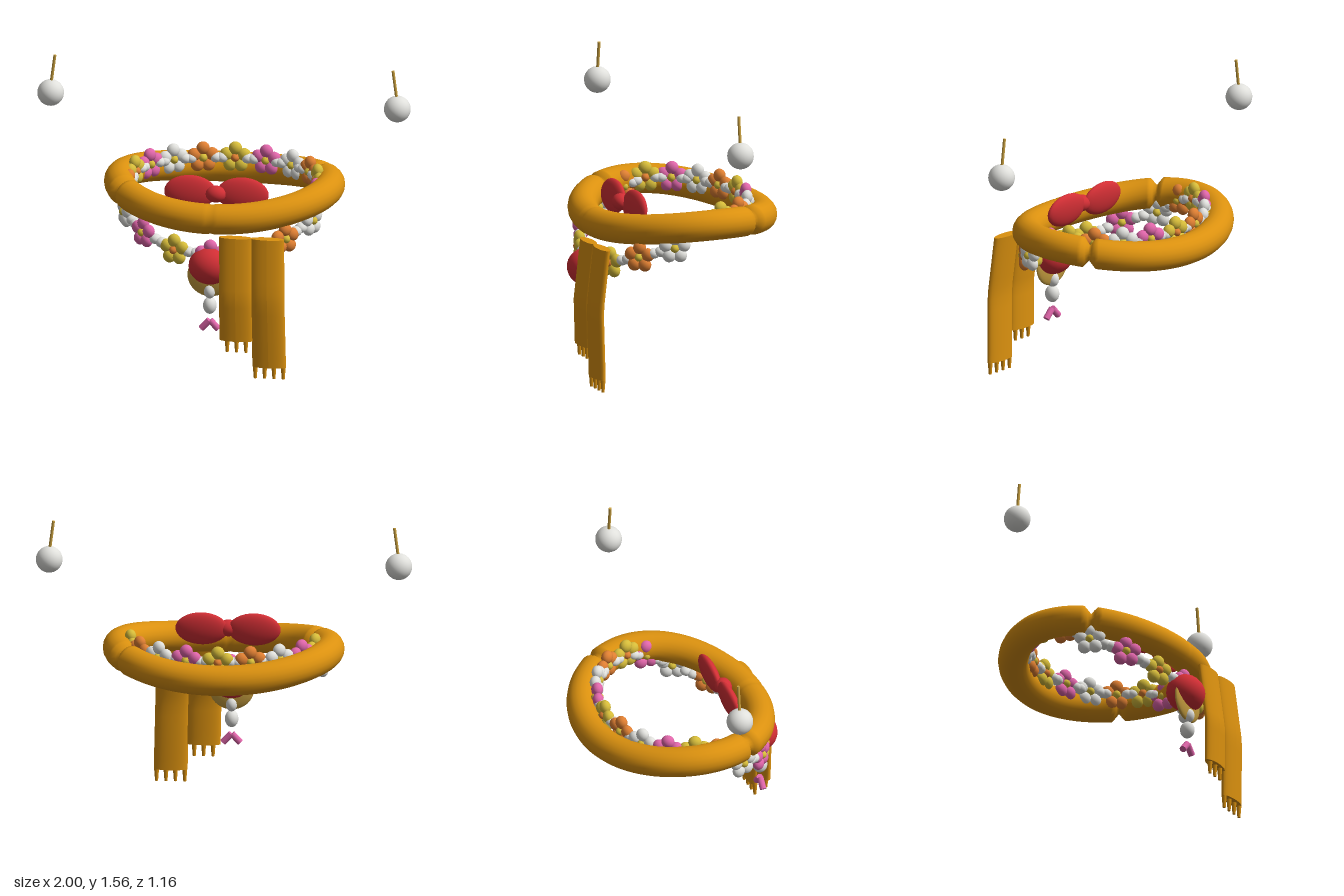
import * as THREE from 'three';
import { mergeVertices } from 'three/addons/utils/BufferGeometryUtils.js';

const mat = (name, color) => {
  const m = new THREE.MeshStandardMaterial({ color });
  m.name = name;
  return m;
};

export function createModel() {
  const ochre = mat('ochre cloth', 0xdb910f);
  const red = mat('red', 0xd32f35);
  const white = mat('pearl white', 0xe0e0dc);
  const yellow = mat('yellow', 0xd6bc3a);
  const pink = mat('pink', 0xe066aa);
  const orange = mat('orange', 0xdf7f32);
  const gold = mat('gold', 0xc9a040);

  const model = new THREE.Group();
  const add = (parent, name, geo, material, x = 0, y = 0, z = 0) => {
    const m = new THREE.Mesh(geo, material);
    m.name = name;
    m.position.set(x, y, z);
    parent.add(m);
    return m;
  };
  const ball = new THREE.SphereGeometry(1, 24, 16);
  const smallBall = new THREE.SphereGeometry(1, 14, 10);
  const blob = (parent, name, material, p, s, geo = ball) => {
    const m = add(parent, name, geo, material, ...p);
    m.scale.set(...s);
    return m;
  };
  // Cylinder between two points
  const rod = (parent, name, material, a, b, ra, rb = ra) => {
    const A = new THREE.Vector3(...a), B = new THREE.Vector3(...b);
    const d = B.clone().sub(A);
    const m = add(parent, name, new THREE.CylinderGeometry(rb, ra, d.length(), 12), material);
    m.position.copy(A).addScaledVector(d, 0.5);
    m.quaternion.setFromUnitVectors(new THREE.Vector3(0, 1, 0), d.normalize());
    return m;
  };

  // Scarf loop: oval tube, higher at the sides, pinched at two folds
  const loop = new THREE.TorusGeometry(1, 0.1, 20, 180);
  const pos = loop.attributes.position, uv = loop.attributes.uv;
  const RX = 0.56, RZ = 0.455, R = 0.081;
  const folds = [[28, 0.5, 4], [208, 0.5, 4], [270, 0.06, 2]];
  for (let i = 0; i < pos.count; i++) {
    const u = uv.getX(i) * Math.PI * 2, v = uv.getY(i) * Math.PI * 2;
    let r = R;
    for (const [angle, depth, width] of folds) {
      const d = Math.abs(uv.getX(i) * 360 - angle);
      r *= 1 - depth * Math.max(0, 1 - d / width);
    }
    const n = new THREE.Vector2(Math.cos(u) / RX, Math.sin(u) / RZ).normalize();
    const out = r * Math.cos(v);
    pos.setXYZ(i,
      RX * Math.cos(u) + n.x * out,
      0.83 + 0.06 * Math.cos(u) ** 2 + r * Math.sin(v),
      -0.04 - RZ * Math.sin(u) - n.y * out);
  }
  loop.deleteAttribute('uv');
  loop.deleteAttribute('normal');
  const loopGeo = mergeVertices(loop, 1e-5);
  loopGeo.computeVertexNormals();
  add(model, 'scarfLoop', loopGeo, ochre);

  // Hanging scarf ends with fringe
  const tailZ = (y) => (y > 0.44 ? 0.551 - 0.125 * (y - 0.44) : 0.551 - 0.02 * (0.44 - y));
  const scarfTail = (name, xTop, xBottom, yBottom, fringes) => {
    const g = new THREE.Group();
    g.name = name;
    const top = 0.765, h = top - yBottom;
    const geo = new THREE.CylinderGeometry(1, 1, h, 24, 12);
    const p = geo.attributes.position;
    for (let i = 0; i < p.count; i++) {
      const y = p.getY(i) + yBottom + h / 2;
      const t = (top - y) / h;
      p.setXYZ(i, xTop + (xBottom - xTop) * t + p.getX(i) * 0.09, y, tailZ(y) + p.getZ(i) * 0.029);
    }
    geo.computeVertexNormals();
    add(g, 'cloth', geo, ochre);
    for (let i = 0; i < fringes; i++) {
      const x = xBottom + (i - (fringes - 1) / 2) * 0.05;
      rod(g, 'fringe', ochre, [x, yBottom + 0.01, tailZ(yBottom)], [x, yBottom - 0.065, tailZ(yBottom)], 0.014, 0.008);
    }
    model.add(g);
  };
  scarfTail('shortScarfTail', 0.145, 0.155, 0.205, 3);
  scarfTail('longScarfTail', 0.315, 0.33, 0.065, 4);

  // Bow inside the loop
  const bow = new THREE.Group();
  bow.name = 'bow';
  for (const s of [-1, 1]) {
    const wing = blob(bow, 'bowWing', red, [s * 0.14, 0.92, 0.24], [0.14, 0.09, 0.035]);
    wing.rotation.x = -0.12;
  }
  blob(bow, 'bowKnot', red, [0, 0.92, 0.26], [0.055, 0.045, 0.045]);
  model.add(bow);

  // Flower garland: back half behind the loop's rim, front half drooping
  const path = [
    [0, 0.91, -0.415], [0.17, 0.91, -0.39], [0.32, 0.91, -0.33], [0.43, 0.91, -0.23], [0.49, 0.91, -0.1],
    [0.5, 0.87, 0.02], [0.5, 0.77, 0.17], [0.38, 0.71, 0.32], [0.2, 0.65, 0.41], [0, 0.64, 0.45],
  ];
  const colours = [yellow, pink, white, orange];
  const at = (i) => {
    const [x, y, z] = path[Math.abs(i)];
    return new THREE.Vector3(i < 0 ? -x : x, y, z);
  };
  const garland = new THREE.Group();
  garland.name = 'garland';
  for (let i = -8; i <= 9; i++) {
    const c = at(i), petalColour = colours[(i + 12) % 4];
    const flower = new THREE.Group();
    flower.name = 'flower';
    flower.position.copy(c);
    flower.rotation.y = Math.atan2(c.x / 0.25, (c.z - 0.02) / 0.19);
    for (let k = 0; k < 5; k++) {
      const a = (k / 5) * Math.PI * 2;
      blob(flower, 'petal', petalColour, [0.05 * Math.sin(a), 0.05 * Math.cos(a), 0], [0.036, 0.036, 0.03], smallBall);
    }
    const heart = petalColour === yellow ? orange : yellow;
    blob(flower, 'flowerCentre', heart, [0, 0, 0], [0.025, 0.025, 0.034], smallBall);
    garland.add(flower);
  }
  // Beads threaded between neighbouring flowers
  for (let i = -9; i < 9; i++) {
    for (const t of [0.4, 0.6]) {
      const p = at(i).lerp(at(i + 1), t);
      blob(garland, 'bead', white, p.toArray(), [0.033, 0.028, 0.033], smallBall);
    }
  }
  model.add(garland);

  // Pendant: red ball on a gold disc, beads and a pink tassel
  const pendant = new THREE.Group();
  pendant.name = 'pendant';
  blob(pendant, 'pendantBall', red, [0, 0.585, 0.46], [0.115, 0.1, 0.1]);
  blob(pendant, 'pendantDisc', gold, [0, 0.535, 0.47], [0.12, 0.117, 0.025]);
  blob(pendant, 'upperBead', white, [0, 0.45, 0.47], [0.032, 0.042, 0.04]);
  blob(pendant, 'lowerBead', white, [0, 0.368, 0.47], [0.036, 0.046, 0.04]);
  for (const s of [-1, 1]) {
    rod(pendant, 'tassel', pink, [s * 0.002, 0.285, 0.47], [s * 0.046, 0.238, 0.47], 0.018);
  }
  model.add(pendant);

  // Earrings: a pearl on a slanted gold pin
  for (const s of [-1, 1]) {
    const earring = new THREE.Group();
    earring.name = s > 0 ? 'leftEarring' : 'rightEarring';
    blob(earring, 'pearl', white, [s * 0.929, 1.35, -0.02], [0.071, 0.071, 0.071]);
    rod(earring, 'pin', gold, [s * 0.927, 1.4, -0.02], [s * 0.906, 1.56, -0.02], 0.008);
    model.add(earring);
  }
  return model;
}
